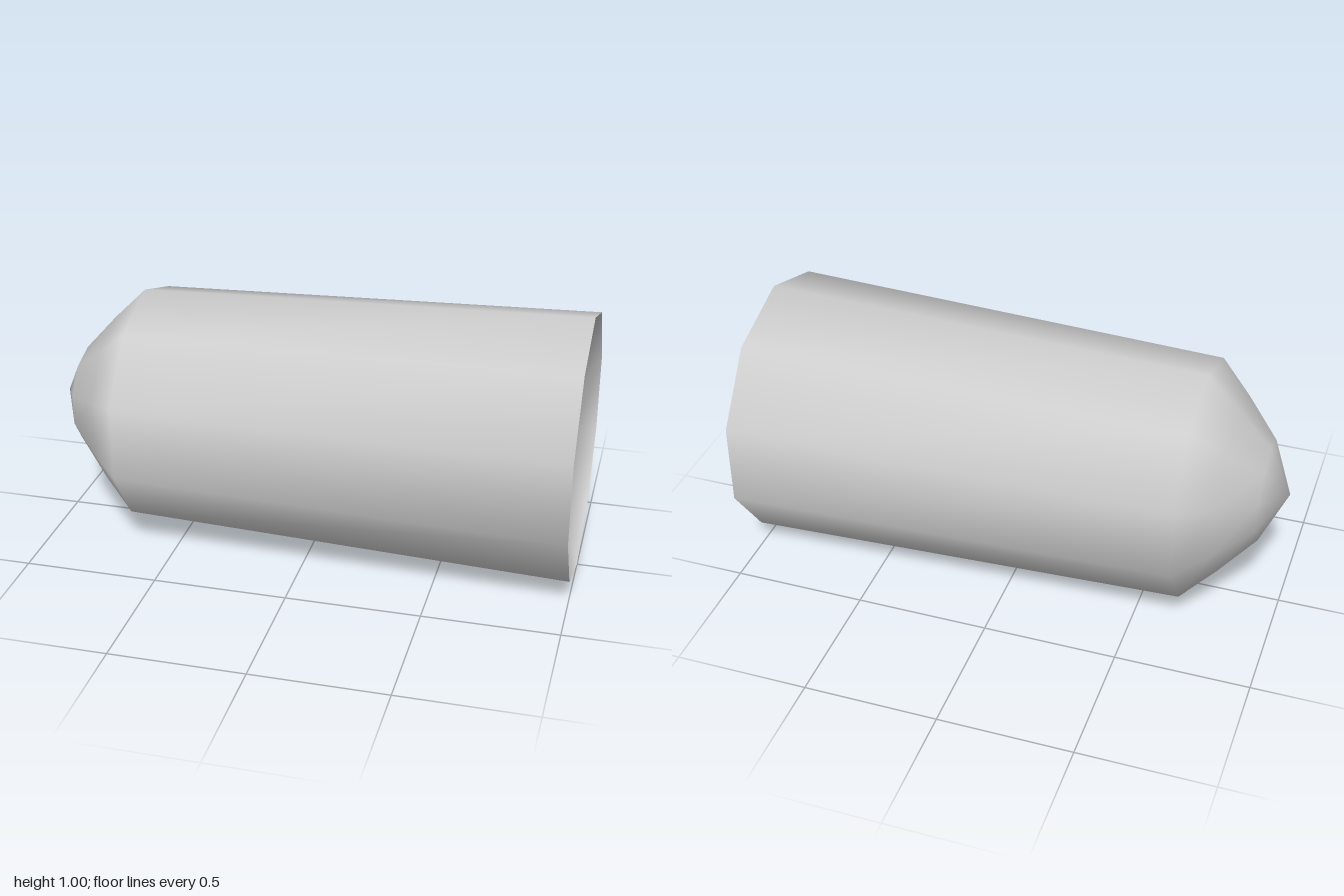
import * as THREE from 'three';

const SIDES = 10;
const AXIS_HEIGHT = 0.5;

// Profile rings along the x axis, after the pointed tip: [x, radius]
const RINGS = [[-0.915, 0.185], [-0.79, 0.325], [-0.67, 0.445], [1, 0.5], [0.935, 0.28]];

// Smooth hollow shell: rounded nose, tapered body and an inward-turned base lip
function shellGeometry() {
  const positions = [-1, AXIS_HEIGHT, 0];
  for (const [x, r] of RINGS) {
    for (let j = 0; j < SIDES; j++) {
      const a = (j / SIDES) * Math.PI * 2;
      positions.push(x, AXIS_HEIGHT + r * Math.cos(a), r * Math.sin(a));
    }
  }
  const at = (ring, j) => 1 + ring * SIDES + (j % SIDES);
  const index = [];
  for (let j = 0; j < SIDES; j++) {
    index.push(0, at(0, j + 1), at(0, j));
  }
  for (let i = 0; i < RINGS.length - 1; i++) {
    const isLip = i === RINGS.length - 2;
    for (let j = 0; j < SIDES; j++) {
      const a = at(i, j), b = at(i, j + 1), c = at(i + 1, j), d = at(i + 1, j + 1);
      // The lip is turned inside out so that it shades as the hollow of the base
      if (isLip) index.push(a, c, b, b, c, d);
      else index.push(a, b, c, b, d, c);
    }
  }
  // Tip triangles must face outward, like the body
  for (let t = 0; t < SIDES * 3; t += 3) {
    const p = (k) => new THREE.Vector3().fromArray(positions, index[t + k] * 3);
    const n = p(1).sub(p(0)).cross(p(2).sub(p(0)));
    if (n.x > 0) [index[t + 1], index[t + 2]] = [index[t + 2], index[t + 1]];
  }
  const geometry = new THREE.BufferGeometry();
  geometry.setAttribute('position', new THREE.Float32BufferAttribute(positions, 3));
  geometry.setIndex(index);
  geometry.computeVertexNormals();
  return geometry;
}

export function createModel() {
  const model = new THREE.Group();
  model.name = 'hollowBullet';

  const lightGrey = new THREE.MeshStandardMaterial({ color: 0xcccccc, side: THREE.DoubleSide });
  lightGrey.name = 'lightGrey';

  const shell = new THREE.Mesh(shellGeometry(), lightGrey);
  shell.name = 'shell';
  model.add(shell);
  return model;
}
